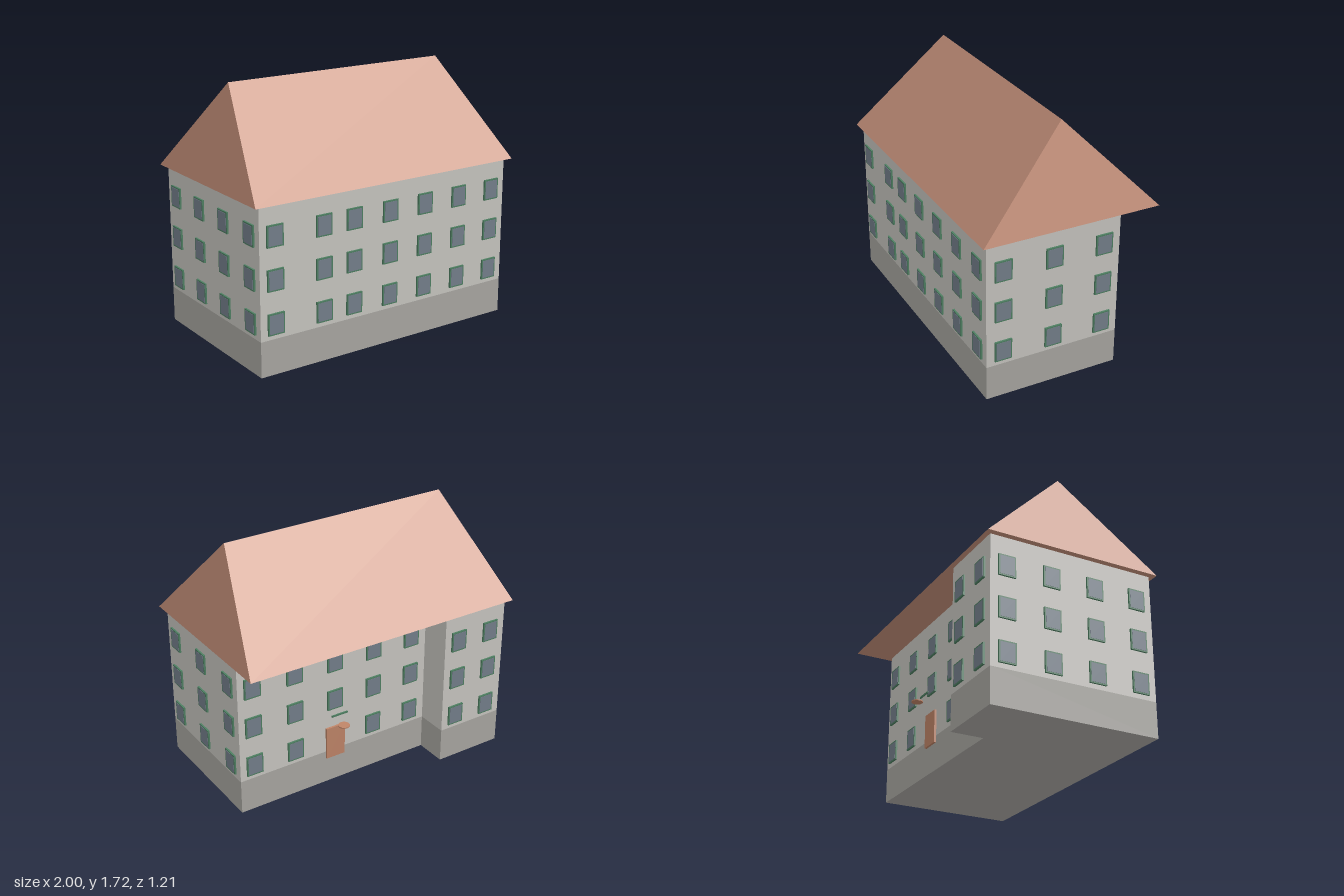
import * as THREE from 'three';

const mat = (name, color) => {
  const m = new THREE.MeshStandardMaterial({ color });
  m.name = name;
  return m;
};

export function createModel() {
  const house = new THREE.Group();
  house.name = 'house';
  const wall = mat('wall plaster', 0xc9c7c2);
  const stone = mat('plinth grey', 0xaaa8a3);
  const tile = mat('roof tile', 0xc5907a);
  const green = mat('frame green', 0x4f8063);
  const glass = mat('window glass', 0x75808c);
  const wood = mat('door wood', 0xc08568);

  const add = (parent, name, geometry, material, x = 0, y = 0, z = 0) => {
    const mesh = new THREE.Mesh(geometry, material);
    mesh.name = name;
    mesh.position.set(x, y, z);
    parent.add(mesh);
    return mesh;
  };

  // L-shaped footprint, drawn with y = -z
  const X = 0.96, Z = 0.57, backZ = -0.352, stepX = -0.472;
  const plan = new THREE.Shape([
    [-X, -Z], [X, -Z], [X, -backZ], [stepX, -backZ], [stepX, Z], [-X, Z],
  ].map(([x, y]) => new THREE.Vector2(x, y)));
  const storey = (height) =>
    new THREE.ExtrudeGeometry(plan, { depth: height, bevelEnabled: false }).rotateX(-Math.PI / 2);
  const plinthTop = 0.235, eaves = 1.093;
  add(house, 'plinth', storey(plinthTop), stone);
  add(house, 'walls', storey(eaves - plinthTop), wall, 0, plinthTop, 0);

  // Hipped roof: a box whose top corners are drawn in to the ridge
  const ridge = 1.72;
  const roof = new THREE.BoxGeometry(2, ridge - eaves, 1.21).toNonIndexed();
  const p = roof.attributes.position;
  for (let i = 0; i < p.count; i++) {
    if (p.getY(i) > 0) {
      p.setX(i, Math.sign(p.getX(i)) * 0.816);
      p.setZ(i, 0);
    }
  }
  roof.computeVertexNormals();
  add(house, 'roof', roof, tile, 0, (ridge + eaves) / 2, 0);

  // Windows: a projecting frame with a thin pane on its face
  const frameGeo = new THREE.BoxGeometry(0.116, 0.14, 0.012);
  const paneGeo = new THREE.BoxGeometry(0.098, 0.122, 0.003);
  const rows = [0.336, 0.619, 0.898];
  const windowAt = (x, y, z, turn) => {
    const w = new THREE.Group();
    w.name = 'window';
    add(w, 'windowFrame', frameGeo, green, 0, 0, 0.006);
    add(w, 'windowPane', paneGeo, glass, 0, 0, 0.012);
    w.position.set(x, y, z);
    w.rotation.y = turn;
    house.add(w);
  };
  const doorX = 0.25;
  rows.forEach((y, row) => {
    for (const x of [-0.853, -0.5, -0.273, 0.007, 0.286, 0.567, 0.847]) windowAt(x, y, Z, 0);
    for (const z of [0.457, 0.109, -0.239]) windowAt(X, y, z, Math.PI / 2);
    for (const z of [0.46, 0.153, -0.153, -0.46]) windowAt(-X, y, z, -Math.PI / 2);
    for (const x of [-0.58, -0.842]) windowAt(x, y, -Z, Math.PI);
    for (const x of [0.857, 0.553, doorX, -0.05, -0.352]) {
      // The door takes the place of one ground floor window
      if (row > 0 || x !== doorX) windowAt(x, y, backZ, Math.PI);
    }
  });

  // Back entrance
  add(house, 'door', new THREE.BoxGeometry(0.14, 0.227, 0.015), wood, doorX, 0.301, backZ - 0.0075);
  add(house, 'canopyDisc', new THREE.CylinderGeometry(0.038, 0.038, 0.007, 24), wood, doorX, 0.473, -0.462);
  add(house, 'canopyBar', new THREE.BoxGeometry(0.12, 0.012, 0.008), green, doorX, 0.532, -0.412);

  return house;
}
